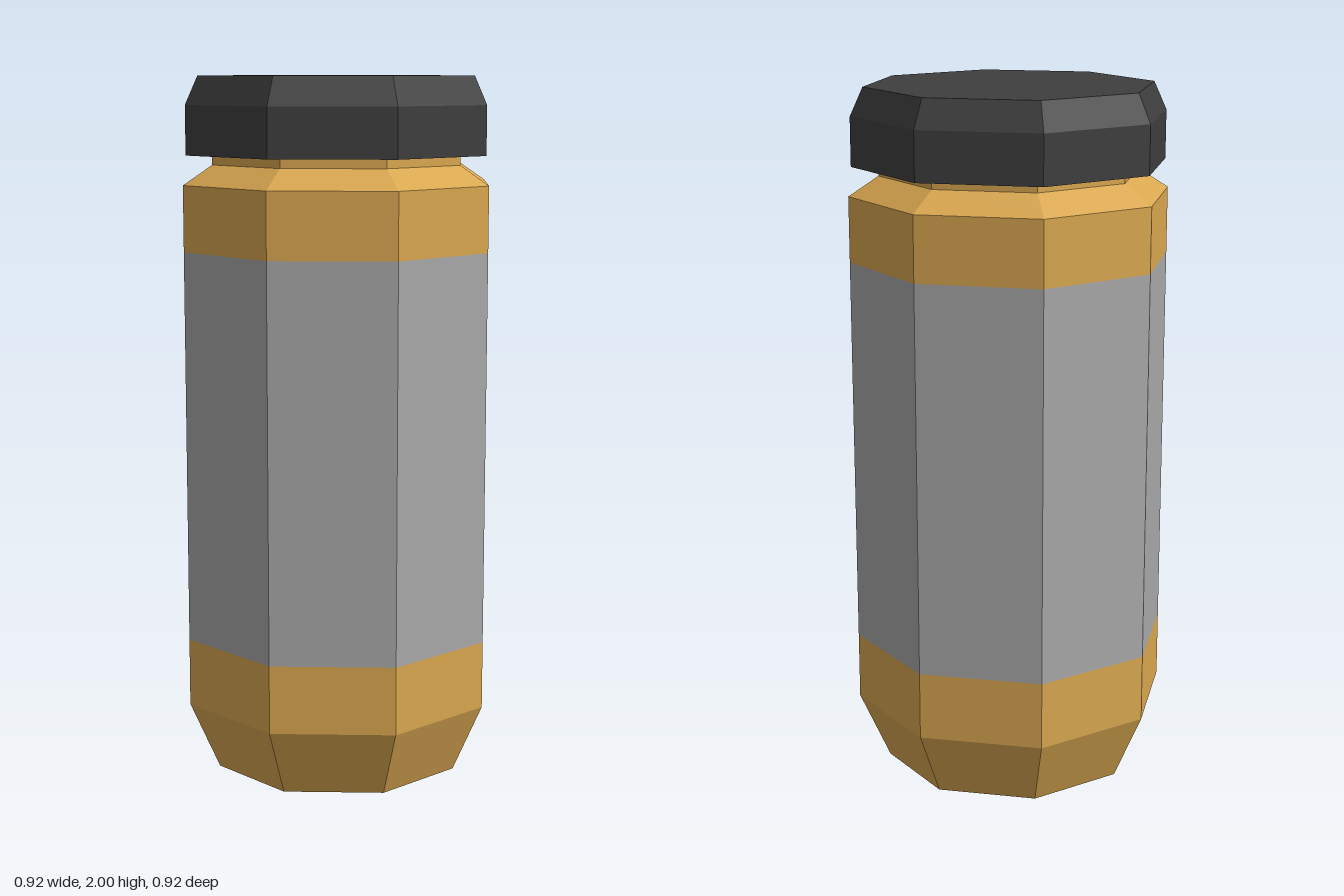
import * as THREE from 'three';

const amber = new THREE.MeshStandardMaterial({ name: 'amber', color: 0xd9a750, flatShading: true });
const labelGrey = new THREE.MeshStandardMaterial({ name: 'label grey', color: 0xa8a8a8, flatShading: true });
const charcoal = new THREE.MeshStandardMaterial({ name: 'charcoal', color: 0x3e3e3e, flatShading: true });

// Eight-sided turned part; profile is [radius, y] from bottom to top
function turned(name, profile, material) {
  const points = profile.map(([r, y]) => new THREE.Vector2(r, y));
  const mesh = new THREE.Mesh(new THREE.LatheGeometry(points, 8), material);
  mesh.name = name;
  return mesh;
}

export function createModel() {
  const group = new THREE.Group();
  group.name = 'bottle';
  const R = 0.458;

  // Tapered foot with closed base
  group.add(turned('base', [[0, 0], [0.37, 0], [R, 0.2], [R, 0.395]], amber));
  // Wrap-around label, flush with the body
  group.add(turned('label', [[R, 0.395], [R, 1.515]], labelGrey));
  // Upper band, sloped shoulder and neck
  group.add(turned('shoulderAndNeck', [[R, 1.515], [R, 1.7], [0.373, 1.755], [0.373, 1.785]], amber));
  // Screw cap with bevelled rim
  group.add(turned('cap', [[0, 1.782], [0.449, 1.782], [0.449, 1.92], [0.412, 2], [0, 2]], charcoal));

  return group;
}
